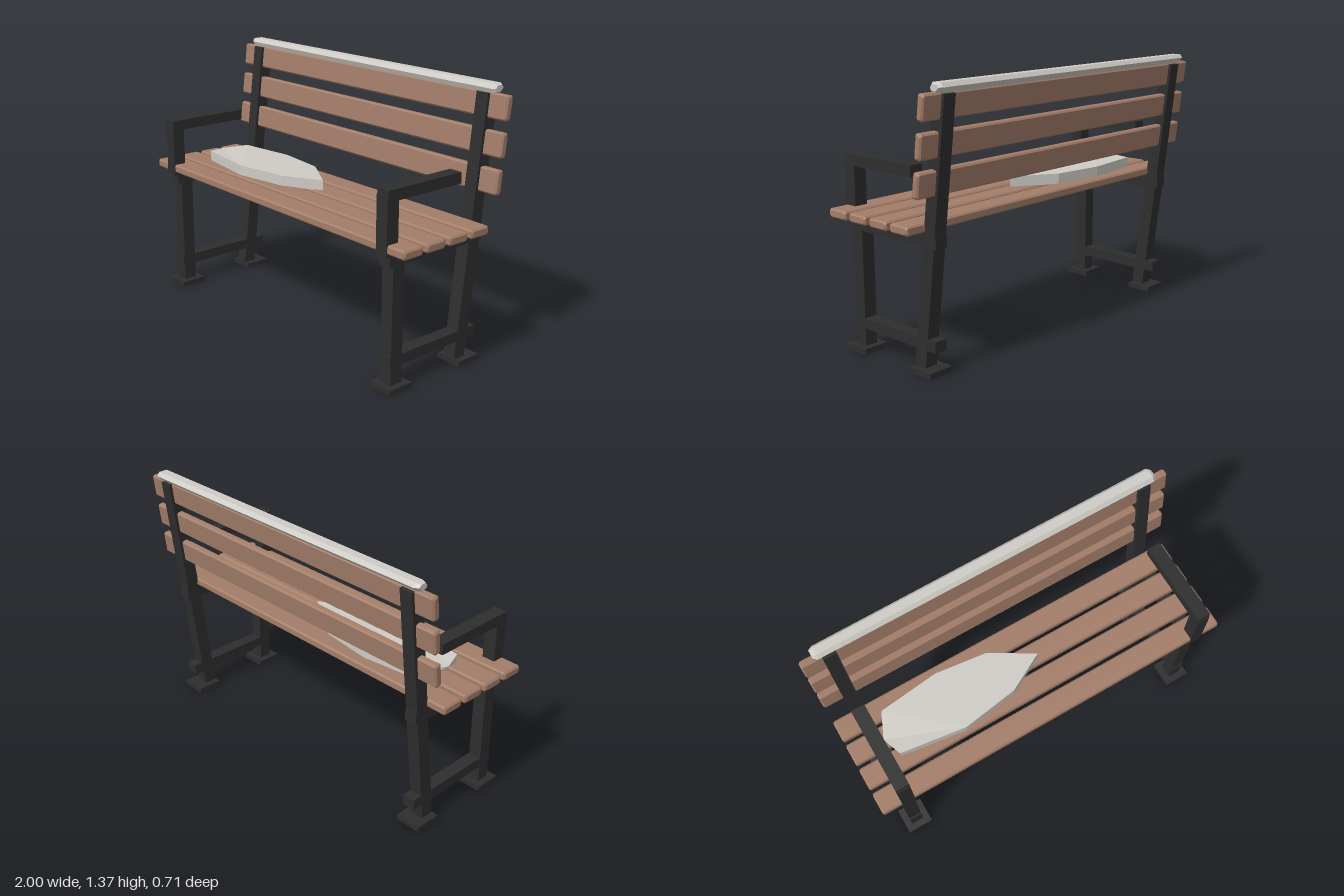
import * as THREE from 'three';

const mat = (name, color, flatShading = false) => {
  const m = new THREE.MeshStandardMaterial({ color, flatShading });
  m.name = name;
  return m;
};

// Closed solid through rings of [x, y, z] points, counter-clockwise about the direction of travel
function loft(rings) {
  const pos = [];
  const tri = (a, b, c) => pos.push(...a, ...b, ...c);
  const n = rings[0].length;
  for (let r = 0; r + 1 < rings.length; r++) {
    const a = rings[r], b = rings[r + 1];
    for (let i = 0; i < n; i++) {
      const j = (i + 1) % n;
      tri(a[i], a[j], b[j]);
      tri(a[i], b[j], b[i]);
    }
  }
  const first = rings[0], last = rings[rings.length - 1];
  for (let i = 1; i + 1 < n; i++) {
    tri(first[0], first[i + 1], first[i]);
    tri(last[0], last[i], last[i + 1]);
  }
  const g = new THREE.BufferGeometry();
  g.setAttribute('position', new THREE.Float32BufferAttribute(pos, 3));
  g.computeVertexNormals();
  return g;
}

// Plank along x with chamfered edges
function plank(length, height, depth, c = 0.008) {
  const ring = (x, k) => {
    const h = height / 2 - k, d = depth / 2 - k;
    return [
      [x, h, -d + c], [x, h, d - c], [x, h - c, d], [x, -h + c, d],
      [x, -h, d - c], [x, -h, -d + c], [x, -h + c, -d], [x, h - c, -d],
    ];
  };
  const l = length / 2;
  return loft([ring(-l, c), ring(-l + c, 0), ring(l - c, 0), ring(l, c)]);
}

export function createModel() {
  const model = new THREE.Group();
  model.name = 'parkBench';
  const wood = mat('wood', 0xa37d69, true);
  const iron = mat('dark iron', 0x2e2e2e);
  const snow = mat('snow', 0xcfccc6, true);

  const add = (parent, name, geometry, material, x, y, z, rx = 0) => {
    const mesh = new THREE.Mesh(geometry, material);
    mesh.name = name;
    mesh.position.set(x, y, z);
    mesh.rotation.x = rx;
    parent.add(mesh);
  };

  // Sloping line shared by the back legs and the back slats
  const lean = 0.12;
  const tilt = -Math.atan(lean);
  const backZ = (y) => -0.147 - lean * y;

  // Iron side frames
  for (const side of [-1, 1]) {
    const frame = new THREE.Group();
    frame.name = side < 0 ? 'rightFrame' : 'leftFrame';
    frame.position.x = side * 0.858;
    model.add(frame);
    const bar = (name, w, y0, y1, z0, z1) =>
      add(frame, name, new THREE.BoxGeometry(w, y1 - y0, z1 - z0), iron, 0, (y0 + y1) / 2, (z0 + z1) / 2);
    bar('frontFoot', 0.14, 0, 0.028, 0.207, 0.347);
    bar('backFoot', 0.14, 0, 0.028, -0.253, -0.113);
    bar('frontLeg', 0.07, 0.02, 0.63, 0.242, 0.312);
    bar('lowerRail', 0.068, 0.117, 0.171, -0.253, 0.318);
    bar('seatRail', 0.068, 0.611, 0.68, -0.268, 0.333);
    bar('armPost', 0.07, 0.662, 0.945, 0.285, 0.354);
    bar('armRest', 0.072, 0.92, 0.975, -0.112, 0.35);
    const y0 = 0.015, y1 = 1.317, mid = (y0 + y1) / 2;
    const length = (y1 - y0) * Math.hypot(1, lean);
    add(frame, 'backLeg', new THREE.BoxGeometry(0.07, length, 0.07), iron, 0, mid, backZ(mid), tilt);
  }

  // Seat slats
  const seatSlat = plank(2, 0.044, 0.12);
  for (let i = 0; i < 4; i++) add(model, 'seatSlat', seatSlat, wood, 0, 0.702, 0.291 - i * 0.1437);

  // Back slats
  const backSlat = plank(2, 0.12, 0.04);
  for (const y of [0.917, 1.09, 1.262]) add(model, 'backSlat', backSlat, wood, 0, y, backZ(y), tilt);

  // Ridge of snow along the top of the back
  const ridge = [[1.365, -0.336], [1.365, -0.289], [1.343, -0.272], [1.32, -0.282], [1.316, -0.322], [1.345, -0.353]];
  const ridgeRing = (x, s, dy = 0) =>
    ridge.map(([y, z]) => [x, 1.342 + (y - 1.342) * s + dy, -0.312 + (z + 0.312) * s]);
  const ridgeGeo = loft([
    ridgeRing(-0.932, 0.6, 0.005), ridgeRing(-0.91, 0.92, 0.002), ridgeRing(0.91, 1), ridgeRing(0.925, 0.65),
  ]);
  add(model, 'backSnow', ridgeGeo, snow, 0, 0, 0);

  // Pile of snow on the seat
  const outline = [
    [-0.43, 0.187], [-0.125, 0.14], [0.08, 0.03], [-0.147, -0.108],
    [-0.43, -0.143], [-0.76, -0.105], [-0.82, 0.03], [-0.783, 0.137],
  ];
  const top = outline.map(([x, z]) => [x, x < -0.8 ? 0.77 : 0.778, z]);
  const base = outline.map(([x, z]) => [Math.max(x, -0.775), 0.722, z]);
  add(model, 'seatSnow', loft([base, top]), snow, 0, 0, 0);

  return model;
}
